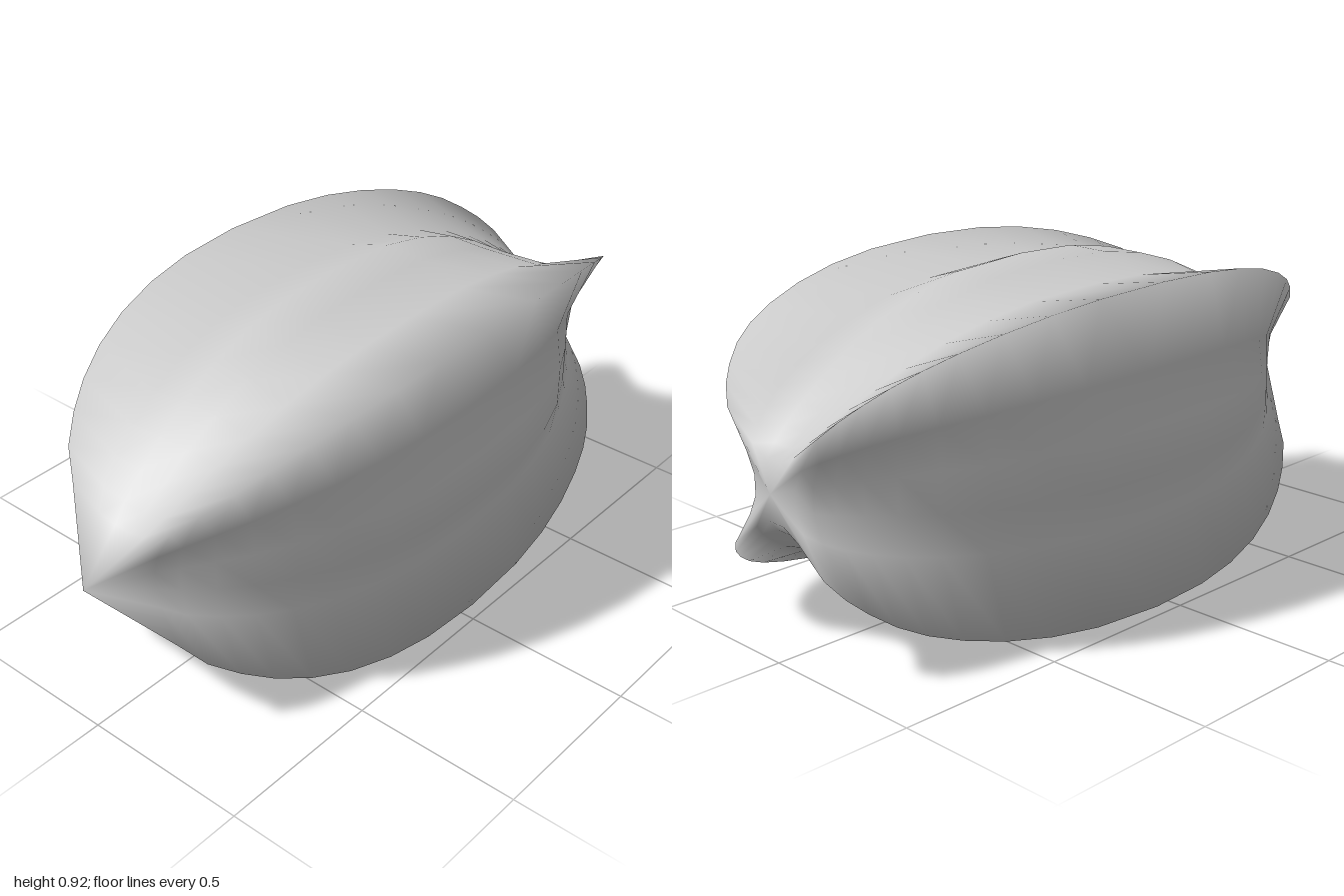
import * as THREE from 'three';

// Cross-sections along the pod: [z, ridge half-width, panel half-width / ridge half-width]
const SECTIONS = [
  [-0.985, 0.185, 0.45], [-0.955, 0.23, 0.51], [-0.915, 0.268, 0.57], [-0.86, 0.308, 0.64],
  [-0.79, 0.343, 0.71], [-0.7, 0.375, 0.8], [-0.58, 0.407, 0.89], [-0.44, 0.433, 0.95],
  [-0.28, 0.451, 0.99], [-0.05, 0.46, 1], [0.15, 0.454, 1], [0.3, 0.438, 0.98],
  [0.44, 0.411, 0.94], [0.56, 0.375, 0.88], [0.66, 0.333, 0.82], [0.74, 0.288, 0.74],
  [0.81, 0.237, 0.66], [0.855, 0.178, 0.62],
];
const CENTER_Y = 0.46;

// One four-cornered ring: sharp corner ridge, groove, flat rib, groove on each side
function ringPoints(h, t) {
  const groove = h * (0.36 + 0.54 * t), rib = h * t;
  const side = [[h, -h], [groove, -0.456 * h], [rib, -0.15 * h], [rib, 0.15 * h], [groove, 0.456 * h]];
  const points = [];
  for (let k = 0; k < 4; k++) {
    const c = Math.round(Math.cos(k * Math.PI / 2)), s = Math.round(Math.sin(k * Math.PI / 2));
    for (const [x, y] of side) points.push([x * c - y * s, x * s + y * c]);
  }
  return points;
}

function podGeometry() {
  const positions = [], index = [], n = 20;
  for (const [z, h, t] of SECTIONS)
    for (const [x, y] of ringPoints(h, t)) positions.push(x, y + CENTER_Y, z);
  const last = (SECTIONS.length - 1) * n;
  const backTip = last + n, frontTip = backTip + 1;
  positions.push(0, CENTER_Y, -1, 0, CENTER_Y, 1);

  for (let j = 0; j < n; j++) {
    const k = (j + 1) % n;
    // skin between rings
    for (let r = 0; r < last; r += n)
      index.push(r + j, r + k, r + n + k, r + j, r + n + k, r + n + j);
    // blunt back end and pointed front end
    index.push(backTip, k, j, frontTip, last + j, last + k);
  }
  const geometry = new THREE.BufferGeometry();
  geometry.setAttribute('position', new THREE.Float32BufferAttribute(positions, 3));
  geometry.setIndex(index);
  geometry.computeVertexNormals();
  return geometry;
}

export function createModel() {
  const model = new THREE.Group();
  model.name = 'ribbedPod';
  const pod = new THREE.Mesh(podGeometry(), new THREE.MeshStandardMaterial({ color: 0xcccccc }));
  pod.name = 'podBody';
  model.add(pod);
  return model;
}
